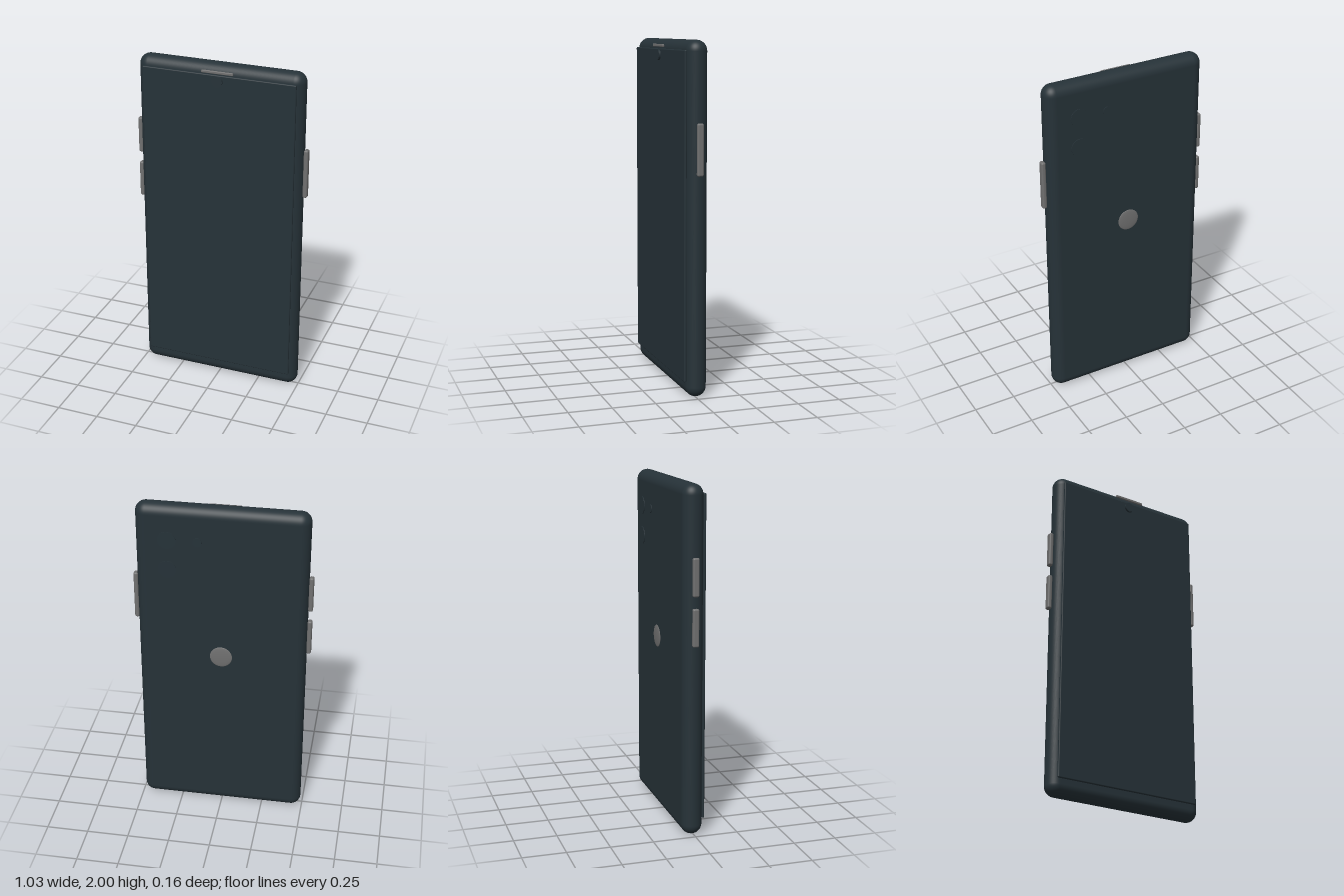
import * as THREE from 'three';
import { RoundedBoxGeometry } from 'three/addons/geometries/RoundedBoxGeometry.js';

const slate = new THREE.MeshStandardMaterial({ color: 0x263238 });
slate.name = 'dark slate';
const grey = new THREE.MeshStandardMaterial({ color: 0x707070 });
grey.name = 'metal grey';

export function createModel() {
  const phone = new THREE.Group();
  phone.name = 'phone';

  function add(name, geometry, material, x, y, z) {
    const mesh = new THREE.Mesh(geometry, material);
    mesh.name = name;
    mesh.position.set(x, y, z);
    phone.add(mesh);
    return mesh;
  }

  // Round-edged slab given by its extents
  function slab(name, material, [x0, x1], [y0, y1], [z0, z1], radius, segments = 3) {
    const geometry = new RoundedBoxGeometry(x1 - x0, y1 - y0, z1 - z0, segments, radius);
    return add(name, geometry, material, (x0 + x1) / 2, (y0 + y1) / 2, (z0 + z1) / 2);
  }

  // Thin disc facing along z
  function disc(name, radius, thickness, x, y, z) {
    const geometry = new THREE.CylinderGeometry(radius, radius, thickness, 40).rotateX(Math.PI / 2);
    return add(name, geometry, slate, x, y, z);
  }

  // Body and screen
  slab('body', slate, [-0.49, 0.49], [0, 2], [-0.066, 0.054], 0.06, 8);
  slab('screen', slate, [-0.453, 0.453], [0.09, 1.945], [0.053, 0.068], 0.006);

  // Earpiece and front camera
  slab('earpiece', grey, [-0.093, 0.093], [1.955, 1.971], [0.066, 0.078], 0.004);
  disc('frontCamera', 0.03, 0.012, 0, 1.91, 0.073);

  // Side buttons
  const buttonZ = [-0.025, 0.012];
  slab('powerButton', grey, [0.488, 0.515], [1.26, 1.55], buttonZ, 0.01);
  slab('volumeUpButton', grey, [-0.515, -0.488], [1.39, 1.605], buttonZ, 0.01);
  slab('volumeDownButton', grey, [-0.515, -0.488], [1.11, 1.325], buttonZ, 0.01);

  // Rear cameras and flash
  for (const y of [1.8, 1.62]) disc('rearCamera', 0.052, 0.004, 0.305, y, -0.077);
  disc('flash', 0.026, 0.004, 0.132, 1.8, -0.077);

  // Domed button on the back
  const dome = add('backDome', new THREE.SphereGeometry(0.065, 40, 20), grey, 0, 1.07, -0.077);
  dome.scale.z = 0.1;

  return phone;
}
